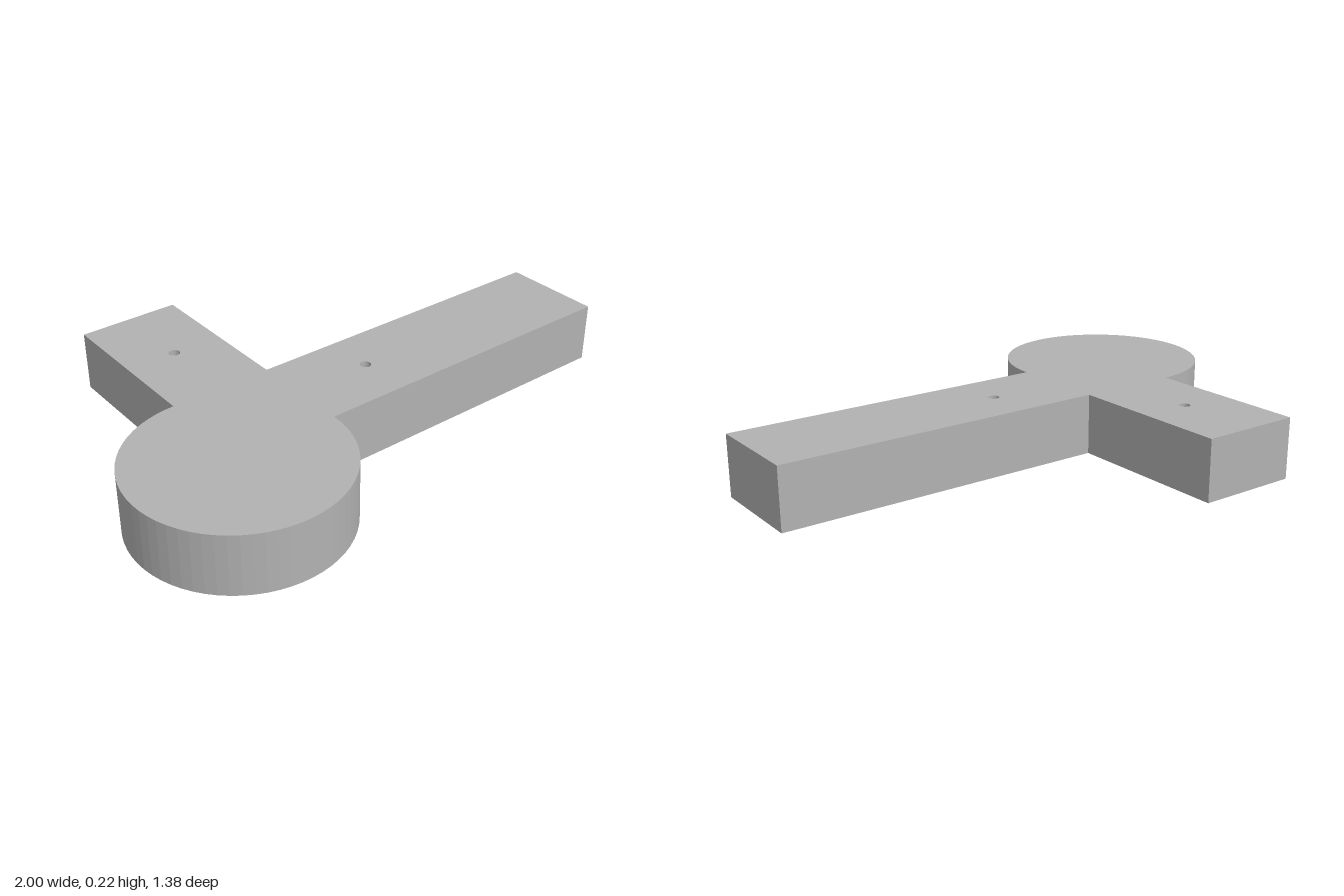
import * as THREE from 'three';

const HEIGHT = 0.225;
const HOLE_RADIUS = 0.02;
const HOLE_FLOOR = 0.1;
const HOLES = [[-0.43, -0.37], [0.055, 0.115]]; // x, z

export function createModel() {
  const group = new THREE.Group();
  group.name = 'angleBracket';
  const grey = new THREE.MeshStandardMaterial({ color: 0xb2b2b2 });
  grey.name = 'grey';

  // Outline in plan (shape y is -z): two arms and a round pad at their corner
  const outline = new THREE.Shape();
  outline.moveTo(-0.24, -0.31);
  outline.lineTo(1, -0.31);
  outline.lineTo(1, 0.07);
  outline.lineTo(-0.24, 0.07);
  outline.lineTo(-0.24, 0.69);
  outline.lineTo(-0.62, 0.69);
  outline.lineTo(-0.62, 0.07);
  outline.absarc(-0.62, -0.31, 0.38, Math.PI / 2, Math.PI * 2, false);

  // Small pin hole in each arm
  for (const [x, z] of HOLES) {
    const hole = new THREE.Path();
    hole.absarc(x, -z, HOLE_RADIUS, 0, Math.PI * 2, true);
    outline.holes.push(hole);
  }

  const bodyGeometry = new THREE.ExtrudeGeometry(outline, {
    depth: HEIGHT, bevelEnabled: false, curveSegments: 24,
  });
  bodyGeometry.rotateX(-Math.PI / 2);
  const body = new THREE.Mesh(bodyGeometry, grey);
  body.name = 'body';
  group.add(body);

  // Solid floors that keep the holes from reaching the underside
  for (const [x, z] of HOLES) {
    const floor = new THREE.Mesh(
      new THREE.CylinderGeometry(HOLE_RADIUS, HOLE_RADIUS, HOLE_FLOOR, 48), grey);
    floor.position.set(x, HOLE_FLOOR / 2, z);
    floor.name = 'holeFloor';
    group.add(floor);
  }
  return group;
}
